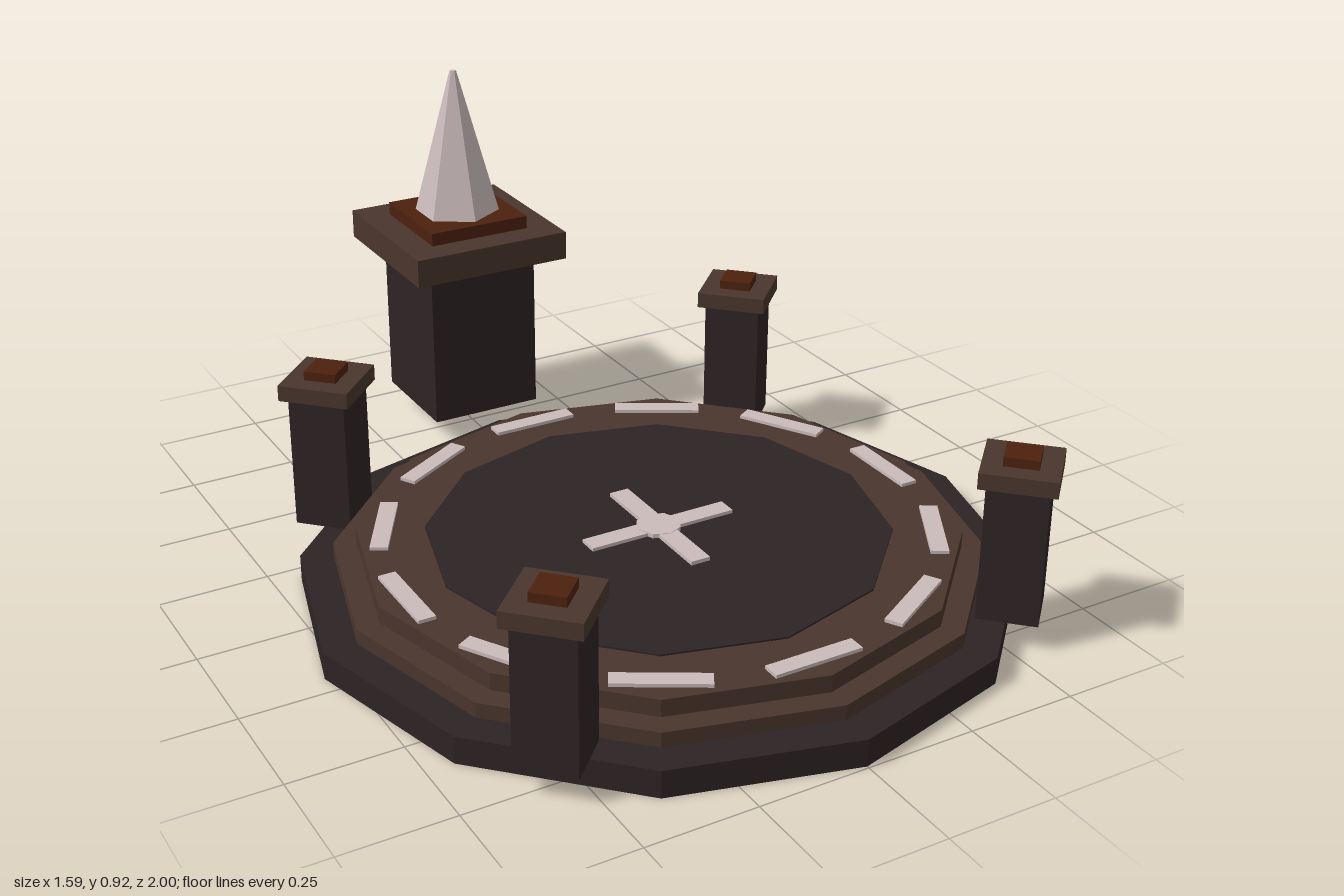
import * as THREE from 'three';

const flat = (name, color) => {
  const m = new THREE.MeshStandardMaterial({ color });
  m.name = name;
  return m;
};

export function createModel() {
  const dark = flat('dark stone', 0x2d2324);
  const brown = flat('brown stone', 0x4a352d);
  const rust = flat('rust', 0x4d210e);
  const bone = flat('pale bone', 0xcbbbbb);

  const add = (parent, name, geo, mat, y, x = 0, z = 0) => {
    const mesh = new THREE.Mesh(geo, mat);
    mesh.name = name;
    mesh.position.set(x, y, z);
    parent.add(mesh);
    return mesh;
  };
  // Solids resting on the given heights
  const box = (parent, name, mat, w, d, y0, y1, x = 0, z = 0) =>
    add(parent, name, new THREE.BoxGeometry(w, y1 - y0, d), mat, (y0 + y1) / 2, x, z);
  const prism = (parent, name, mat, r, y0, y1, sides = 12, top = r) =>
    add(parent, name, new THREE.CylinderGeometry(top, r, y1 - y0, sides).toNonIndexed(), mat, (y0 + y1) / 2)
      .geometry.computeVertexNormals();

  const model = new THREE.Group();
  model.name = 'ritualPlatform';

  // Stepped twelve-sided platform
  const platform = new THREE.Group();
  platform.name = 'platform';
  platform.position.z = 0.2;
  model.add(platform);
  prism(platform, 'base', dark, 0.795, 0, 0.062);
  prism(platform, 'lowerStep', brown, 0.72, 0.062, 0.096);
  prism(platform, 'upperStep', brown, 0.668, 0.096, 0.135);
  prism(platform, 'innerFloor', dark, 0.515, 0.135, 0.139);

  // Ring of pale inlays
  for (let i = 0; i < 12; i++) {
    const a = (i * Math.PI) / 6;
    const dash = box(platform, 'ringInlay', bone, 0.205, 0.04, 0.135, 0.143,
      Math.sin(a) * 0.605, Math.cos(a) * 0.605);
    dash.rotation.y = a;
  }

  // Central cross
  box(platform, 'crossBarX', bone, 0.355, 0.046, 0.139, 0.147);
  box(platform, 'crossBarZ', bone, 0.046, 0.355, 0.139, 0.148);
  prism(platform, 'crossHub', bone, 0.05, 0.139, 0.149, 8);

  // Four corner posts, turned to face the centre
  for (const sx of [-1, 1]) {
    for (const sz of [-1, 1]) {
      const post = new THREE.Group();
      post.name = 'cornerPost';
      post.position.set(sx * 0.545, 0, sz * 0.545);
      post.rotation.y = Math.PI / 4;
      platform.add(post);
      box(post, 'postShaft', dark, 0.132, 0.132, 0.062, 0.375);
      box(post, 'postCap', brown, 0.164, 0.164, 0.375, 0.412);
      box(post, 'postTop', rust, 0.075, 0.075, 0.412, 0.433);
    }
  }

  // Rear pedestal with a hexagonal spire
  const pedestal = new THREE.Group();
  pedestal.name = 'rearPedestal';
  pedestal.position.z = -0.8;
  model.add(pedestal);
  box(pedestal, 'pedestalShaft', dark, 0.28, 0.28, 0.062, 0.46);
  box(pedestal, 'pedestalCap', brown, 0.4, 0.4, 0.46, 0.53);
  box(pedestal, 'pedestalPlinth', rust, 0.257, 0.257, 0.53, 0.562);
  prism(pedestal, 'spire', bone, 0.104, 0.562, 0.92, 6, 0.008);

  return model;
}
